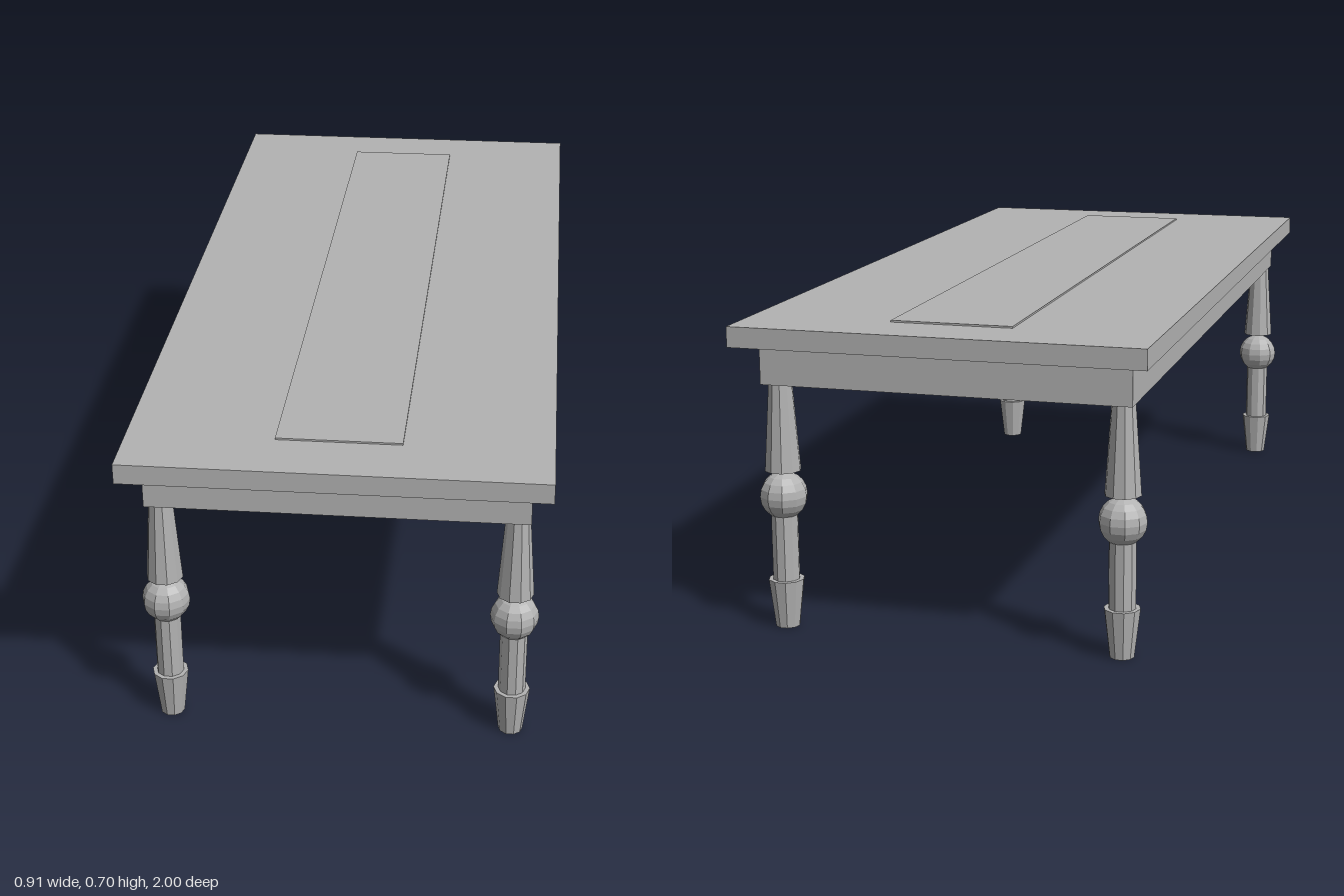
import * as THREE from 'three';

export function createModel() {
  const model = new THREE.Group();
  model.name = 'diningTable';
  const grey = new THREE.MeshStandardMaterial({ color: 0xb3b3b3, flatShading: true });
  grey.name = 'grey';

  function add(parent, name, geometry, y) {
    const mesh = new THREE.Mesh(geometry, grey);
    mesh.name = name;
    mesh.position.y = y;
    parent.add(mesh);
    return mesh;
  }

  // Box spanning a height range, centred on the axis
  function slab(name, width, bottom, top, depth) {
    add(model, name, new THREE.BoxGeometry(width, top - bottom, depth), (bottom + top) / 2);
  }

  // Ten-sided leg section with a corner pointing along x
  function turned(leg, name, topRadius, bottomRadius, bottom, top) {
    const geometry = new THREE.CylinderGeometry(topRadius, bottomRadius, top - bottom, 10);
    add(leg, name, geometry.rotateY(Math.PI / 2), (bottom + top) / 2);
  }

  // Apron, table top and the thin runner along its middle
  slab('apron', 0.818, 0.555, 0.647, 1.868);
  slab('tableTop', 0.906, 0.647, 0.692, 2);
  slab('runner', 0.27, 0.692, 0.696, 1.728);

  // Four turned legs
  for (const x of [-0.381, 0.381]) {
    for (const z of [-0.892, 0.892]) {
      const leg = new THREE.Group();
      leg.name = (z > 0 ? 'front' : 'back') + (x > 0 ? 'Left' : 'Right') + 'Leg';
      leg.position.set(x, 0, z);
      turned(leg, 'foot', 0.04, 0.027, 0, 0.109);
      turned(leg, 'shaft', 0.03, 0.03, 0.109, 0.256);
      add(leg, 'ball', new THREE.SphereGeometry(0.053, 10, 10), 0.3);
      turned(leg, 'upperLeg', 0.026, 0.04, 0.357, 0.555);
      model.add(leg);
    }
  }
  return model;
}
